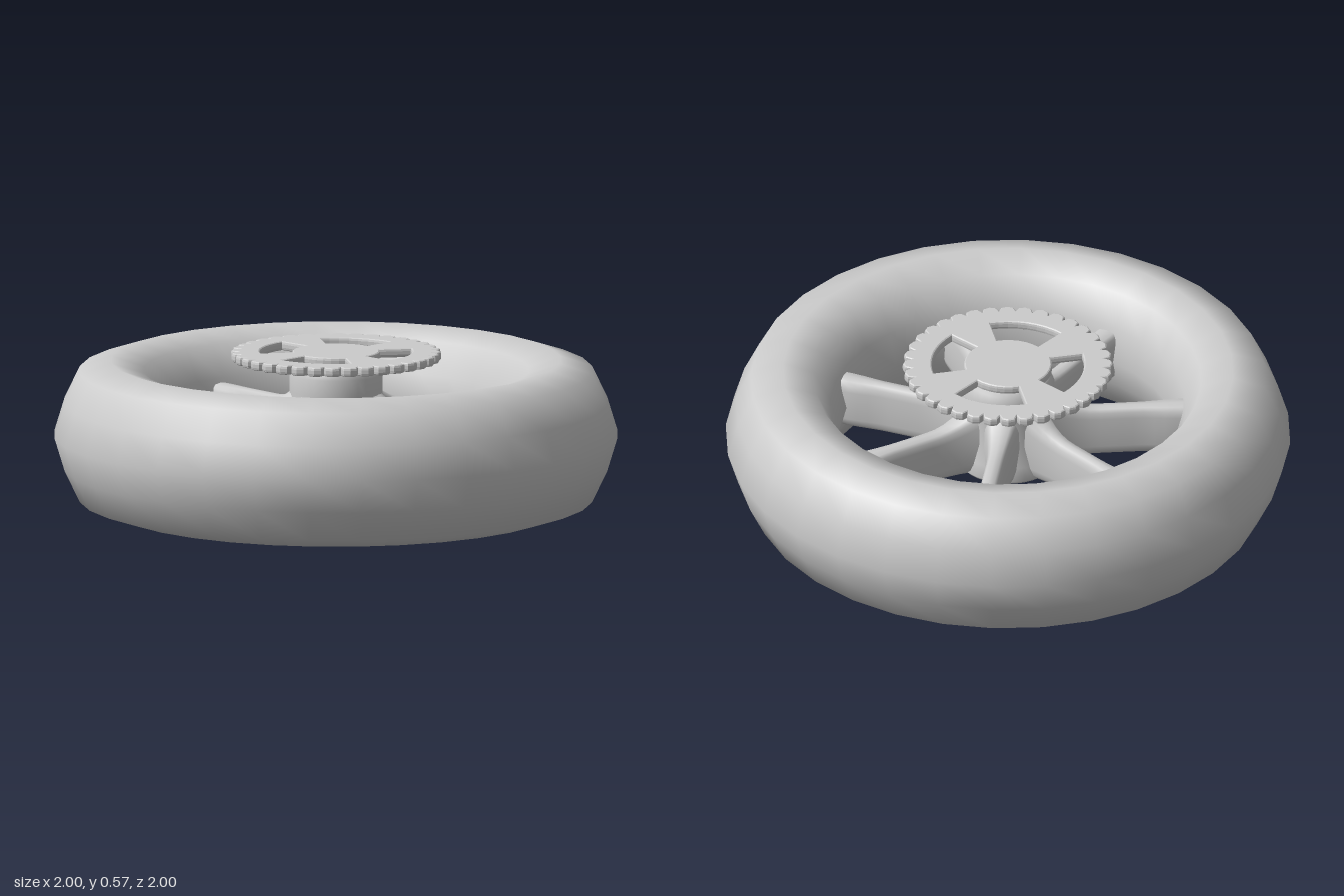
import * as THREE from 'three';
import { mergeVertices } from 'three/addons/utils/BufferGeometryUtils.js';

const grey = new THREE.MeshStandardMaterial({ color: 0xcccccc });

function part(name, geometry) {
  const mesh = new THREE.Mesh(geometry, grey);
  mesh.name = name;
  return mesh;
}

// Weld seams so the normals run smoothly all the way round
function smooth(geometry) {
  geometry.deleteAttribute('normal');
  geometry.deleteAttribute('uv');
  const g = mergeVertices(geometry, 1e-4);
  g.computeVertexNormals();
  return g;
}

const v2 = (p) => new THREE.Vector2(p[0], p[1]);

// Fat closed tyre section, twelve points, 32 steps round
function tireGeometry() {
  const mid = 0.797, cy = 0.272;
  const section = [
    [-0.2, 0], [-0.167, -0.118], [-0.113, -0.23], [0, -0.267], [0.113, -0.23], [0.167, -0.118],
    [0.203, 0], [0.167, 0.118], [0.113, 0.23], [0, 0.267], [-0.113, 0.23], [-0.167, 0.118], [-0.2, 0],
  ];
  return smooth(new THREE.LatheGeometry(section.map(([r, y]) => v2([mid + r, cy + y])), 32));
}

// Spoke blade along +x: flares into the hub and again at the rim
function spokeGeometry() {
  const g = new THREE.CylinderGeometry(1, 1, 1, 16, 14, true);
  const p = g.attributes.position;
  const box = (v) => Math.sign(v) * Math.pow(Math.abs(v), 0.55);
  for (let i = 0; i < p.count; i++) {
    const r = 0.1 + 0.53 * (p.getY(i) + 0.5);
    const root = Math.pow(Math.max(0, 1 - (r - 0.1) / 0.22), 2);
    const tip = THREE.MathUtils.smoothstep(r, 0.46, 0.6);
    const halfWidth = 0.034 + 0.05 * root + 0.014 * tip;
    const top = 0.375 + 0.1 * root, bottom = 0.185 - 0.01 * root;
    p.setXYZ(i, r,
      (top + bottom) / 2 + box(p.getZ(i)) * (top - bottom) / 2,
      box(p.getX(i)) * halfWidth);
  }
  return smooth(g);
}

// Toothed disc with four windows between flaring arms
function sprocketGeometry() {
  const teeth = 36, pts = [];
  const polar = (r, a) => new THREE.Vector2(r * Math.cos(a), r * Math.sin(a));
  for (let i = 0; i < teeth; i++) {
    const a = ((i + 0.5) / teeth) * Math.PI * 2, step = (Math.PI * 2) / teeth;
    pts.push(polar(0.335, a), polar(0.36, a + step * 0.2),
      polar(0.366, a + step * 0.5), polar(0.36, a + step * 0.8));
  }
  const shape = new THREE.Shape(pts);
  const inner = 0.15, outer = 0.275;
  for (let q = 0; q < 4; q++) {
    const a0 = (q * Math.PI) / 2, a1 = a0 + Math.PI / 2;
    const edgeIn = Math.asin(0.036 / inner), edgeOut = Math.asin(0.075 / outer);
    const hole = [];
    for (let k = 0; k <= 8; k++)
      hole.push(polar(outer, THREE.MathUtils.lerp(a0 + edgeOut, a1 - edgeOut, k / 8)));
    for (let k = 0; k <= 6; k++)
      hole.push(polar(inner, THREE.MathUtils.lerp(a1 - edgeIn, a0 + edgeIn, k / 6)));
    shape.holes.push(new THREE.Path(hole));
  }
  const g = new THREE.ExtrudeGeometry(shape, {
    depth: 0.012, bevelEnabled: true, bevelThickness: 0.01, bevelSize: 0.006, bevelSegments: 2,
  });
  g.rotateX(-Math.PI / 2);
  g.translate(0, 0.549, 0);
  return g;
}

export function createModel() {
  const wheel = new THREE.Group();
  wheel.name = 'wheel';

  wheel.add(part('tire', tireGeometry()));

  // Hub barrel with a rounded lower edge and a neck under the sprocket
  const hubProfile = [
    [0, 0.165], [0.13, 0.167], [0.175, 0.175], [0.188, 0.19], [0.18, 0.24], [0.165, 0.32],
    [0.165, 0.43], [0.165, 0.49], [0.15, 0.52], [0.135, 0.545], [0, 0.55],
  ].map(v2);
  wheel.add(part('hub', smooth(new THREE.LatheGeometry(hubProfile, 32))));

  // Seven spokes
  const spokes = new THREE.Group();
  spokes.name = 'spokes';
  const blade = spokeGeometry();
  for (let i = 0; i < 7; i++) {
    const spoke = part('spoke', blade);
    spoke.rotation.y = (i / 7) * Math.PI * 2;
    spokes.add(spoke);
  }
  wheel.add(spokes);

  wheel.add(part('sprocket', sprocketGeometry()));
  return wheel;
}
